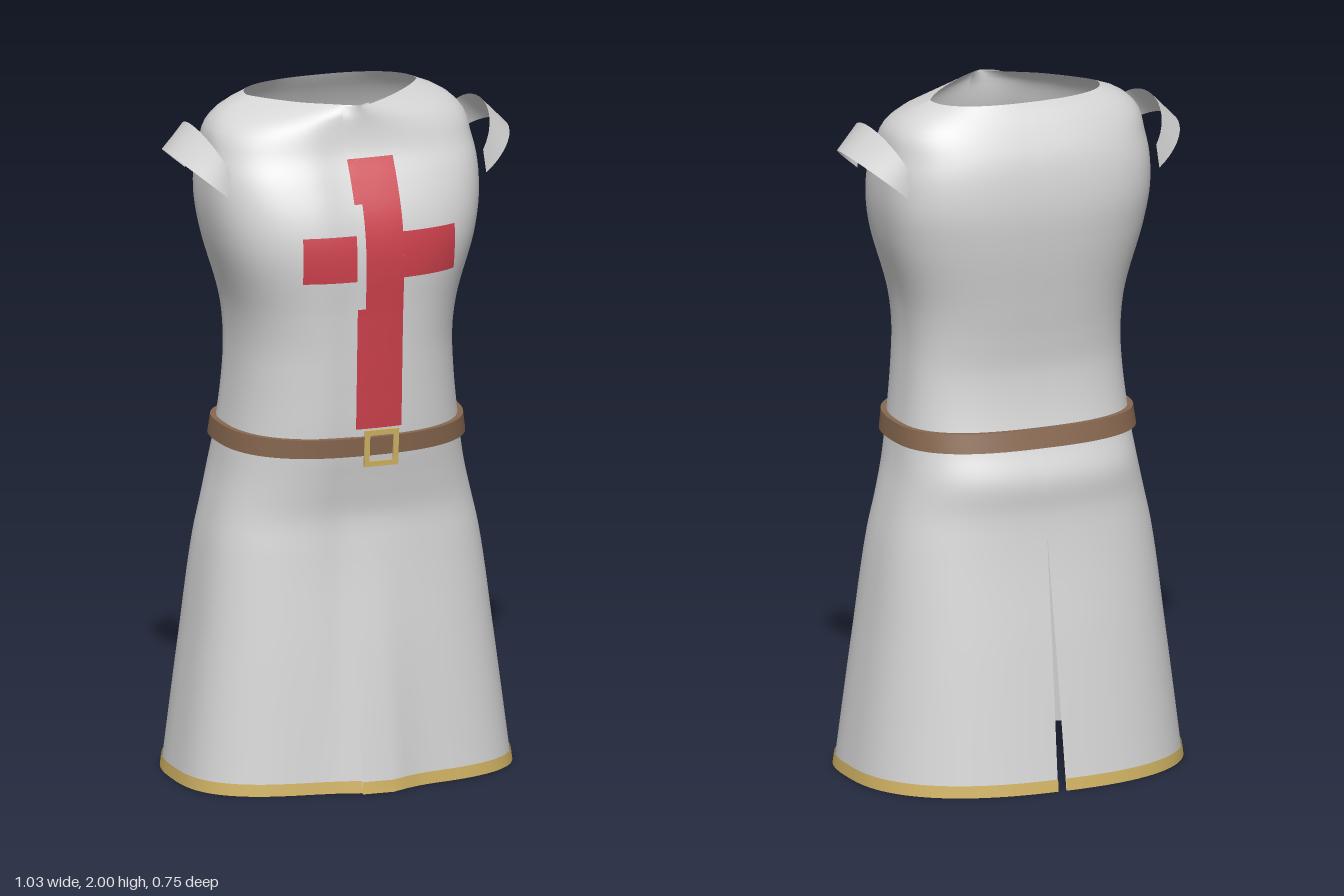
import * as THREE from 'three';
import { toCreasedNormals } from 'three/addons/utils/BufferGeometryUtils.js';

const material = (name, color, side = THREE.DoubleSide) => {
  const m = new THREE.MeshStandardMaterial({ color, side });
  m.name = name;
  return m;
};

// Body sections: y, half width, front z, back z, centre z, front and back roundness
const SECTIONS = [
  [0.0, 0.5, 0.32, -0.375, 0, 3, 2.4],
  [0.4, 0.45, 0.29, -0.32, 0, 2.9, 2.5],
  [0.7, 0.41, 0.265, -0.275, 0, 2.8, 2.6],
  [0.8, 0.388, 0.262, -0.266, 0, 2.7, 2.6],
  [0.9, 0.365, 0.278, -0.268, 0, 2.6, 2.6],
  [1.0, 0.35, 0.296, -0.232, 0, 2.5, 2.6],
  [1.2, 0.328, 0.308, -0.202, 0, 2.5, 2.6],
  [1.3, 0.325, 0.312, -0.21, 0, 2.5, 2.6],
  [1.4, 0.335, 0.316, -0.225, 0, 2.6, 2.6],
  [1.6, 0.39, 0.322, -0.255, 0, 2.8, 2.7],
  [1.7, 0.406, 0.302, -0.262, 0, 2.8, 2.8],
  [1.8, 0.405, 0.258, -0.253, 0, 2.8, 2.8],
  [1.86, 0.395, 0.225, -0.238, 0, 2.6, 2.7],
  [1.92, 0.382, 0.21, -0.21, -0.005, 2.2, 2.6],
  [1.96, 0.345, 0.206, -0.187, -0.015, 1.8, 2.5],
  [1.985, 0.3, 0.206, -0.17, -0.025, 1.4, 2.4],
  [2.0, 0.26, 0.206, -0.162, -0.03, 1.2, 2.4],
];
const spline = new THREE.CubicInterpolant(
  SECTIONS.map((s) => s[0]), SECTIONS.flatMap((s) => s.slice(1)), 6);
const section = (y) => {
  const [w, zf, zb, zc, nf, nb] = spline.evaluate(y);
  return { w, zf, zb, zc, nf, nb };
};

const pleat = (x, y) => 0.055 * Math.max(0, 1 - y / 0.8) * Math.exp(-((x / 0.1) ** 2));

// Point on the body; angle 0 is the front centre, PI the back centre
function bodyPoint(a, y, off = 0) {
  const s = section(y);
  const front = Math.cos(a) >= 0;
  const n = front ? s.nf : s.nb;
  const x = (s.w + off) * Math.sign(Math.sin(a)) * Math.abs(Math.sin(a)) ** (2 / n);
  const reach = front ? s.zf + off - s.zc : s.zb - off - s.zc;
  const z = s.zc + reach * Math.abs(Math.cos(a)) ** (2 / n) + (front ? pleat(x, y) : 0);
  return new THREE.Vector3(x, y, z);
}

// Angle at which the front of the body reaches a given x
function frontAngle(x, y) {
  const s = section(y);
  return Math.sign(x) * Math.asin((Math.abs(x) / s.w) ** (s.nf / 2));
}

// Surface over u, v in 0..1
function grid(point, nu, nv, flip = false) {
  const pos = [], index = [];
  for (let j = 0; j <= nv; j++)
    for (let i = 0; i <= nu; i++) pos.push(...point(i / nu, j / nv).toArray());
  for (let j = 0; j < nv; j++)
    for (let i = 0; i < nu; i++) {
      const a = j * (nu + 1) + i, b = a + 1, c = a + nu + 1, d = c + 1;
      index.push(...(flip ? [a, c, b, b, c, d] : [a, b, c, b, d, c]));
    }
  const g = new THREE.BufferGeometry();
  g.setAttribute('position', new THREE.Float32BufferAttribute(pos, 3));
  g.setIndex(index);
  g.computeVertexNormals();
  return g;
}

// Half of the garment from the front overlap to the slit at the back
function panel(side, y0, y1, off, rows) {
  const edge = side > 0 ? -0.05 : -0.04;
  return grid((u, v) => {
    const y = y0 + (y1 - y0) * v;
    const a0 = frontAngle(edge, y);
    const p = bodyPoint(a0 + (Math.PI - a0) * u, y, off);
    if (p.z < 0) p.x = Math.max(p.x, 0.013 * Math.max(0, 1 - y / 0.75));
    p.x *= side;
    // The right half tucks under the left one
    if (side < 0 && p.z > 0) p.z -= 0.014 * THREE.MathUtils.smoothstep(p.x, -0.16, -0.05);
    return p;
  }, 56, rows, side < 0);
}

export function createModel() {
  const model = new THREE.Group();
  const cloth = material('light grey cloth', 0xd6d6d6);
  const red = material('red cloth', 0xcc404c);
  const gold = material('gold', 0xd2b464);
  const leather = material('brown leather', 0x886850);
  const add = (name, geometry, mat) => {
    const mesh = new THREE.Mesh(geometry, mat);
    mesh.name = name;
    model.add(mesh);
    return mesh;
  };

  for (const side of [1, -1]) {
    const label = side > 0 ? 'left' : 'right';
    add(label + 'Panel', panel(side, 0, 2, 0, 100), cloth);
    add(label + 'Hem', panel(side, 0, 0.035, 0.004, 2), gold);

    // Arched sleeve cap standing off the shoulder
    add(label + 'SleeveCap', grid((u, v) => {
      const t = Math.PI * u, s = Math.sin(t);
      const x = THREE.MathUtils.lerp(0.385 + 0.055 * s, 0.395 + 0.12 * s, v);
      const y = THREE.MathUtils.lerp(1.83 + 0.106 * s, 1.76 + 0.1 * s, v);
      return new THREE.Vector3(side * x, y, 0.005 + 0.178 * Math.cos(t));
    }, 20, 2, side < 0), cloth);
  }

  // Belt: a rectangular strip swept around the waist
  const strip = [[-0.004, 0.99], [0.016, 0.99], [0.016, 1.045], [-0.004, 1.045], [-0.004, 0.99]];
  const belt = grid((u, v) => {
    const [off, y] = strip[Math.round(v * 4)];
    return bodyPoint(u * Math.PI * 2, y, off);
  }, 80, 4);
  add('belt', toCreasedNormals(belt, 0.7), leather);

  // Buckle frame
  const rect = (T, w, h) => new T([[-w, -h], [w, -h], [w, h], [-w, h]]
    .map(([x, y]) => new THREE.Vector2(x, y)));
  const frame = rect(THREE.Shape, 0.052, 0.055);
  frame.holes.push(rect(THREE.Path, 0.036, 0.039));
  const buckle = add('buckle',
    new THREE.ExtrudeGeometry(frame, { depth: 0.006, bevelEnabled: false }), gold);
  buckle.position.set(0.022, 1.015, 0.321);
  buckle.rotation.x = 0.08;

  // Red cross laid on the chest, broken beside the overlap: x0, x1, y0, y1
  const pieces = {
    crossUpright: [-0.026, 0.09, 1.07, 1.855],
    crossLowerEdge: [-0.05, -0.026, 1.07, 1.43],
    crossUpperEdge: [-0.05, -0.026, 1.735, 1.855],
    crossLeftArm: [0.09, 0.26, 1.515, 1.65],
    crossRightArm: [-0.21, -0.053, 1.515, 1.65],
  };
  for (const [name, [x0, x1, y0, y1]] of Object.entries(pieces)) {
    add(name, grid((u, v) => {
      const x = x0 + (x1 - x0) * u, y = y0 + (y1 - y0) * v;
      const p = bodyPoint(frontAngle(x, y), y);
      p.z += 0.008;
      return p;
    }, 10, 40), red);
  }
  return model;
}
